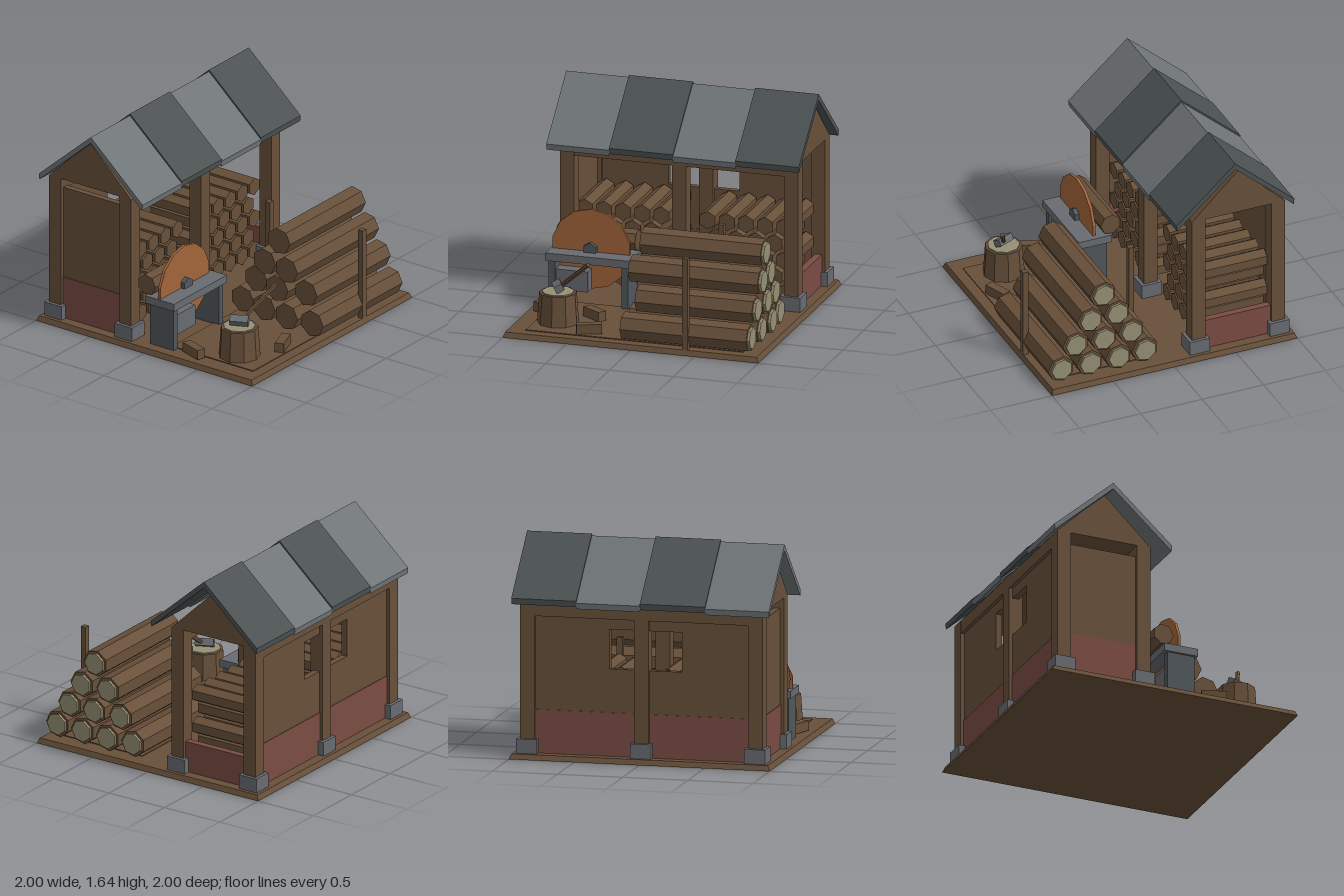
import * as THREE from 'three';

export function createModel() {
  const root = new THREE.Group();
  const mat = (name, color) => {
    const m = new THREE.MeshStandardMaterial({ color, flatShading: true });
    m.name = name;
    return m;
  };
  const wood = mat('brown wood', 0x68503a);
  const cutWood = mat('pale cut wood', 0x958f73);
  const brick = mat('red base wall', 0x7a4c43);
  const slateLight = mat('light slate', 0x707578);
  const slateDark = mat('dark slate', 0x4c5252);
  const stone = mat('grey stone', 0x686b70);
  const steel = mat('dark steel', 0x50575c);
  const rust = mat('rusty blade', 0xa2653b);

  const add = (name, geo, m, x = 0, y = 0, z = 0, parent = root) => {
    const mesh = new THREE.Mesh(geo, m);
    mesh.name = name;
    mesh.position.set(x, y, z);
    parent.add(mesh);
    return mesh;
  };
  // Box given by its extents
  const box = (name, m, x0, x1, y0, y1, z0, z1) =>
    add(name, new THREE.BoxGeometry(x1 - x0, y1 - y0, z1 - z0), m,
      (x0 + x1) / 2, (y0 + y1) / 2, (z0 + z1) / 2);
  // Profile drawn as [z, y] points and extruded along x
  const alongX = (name, m, pts, x0, x1) => {
    const shape = new THREE.Shape(pts.map(([z, y]) => new THREE.Vector2(-z, y)));
    const geo = new THREE.ExtrudeGeometry(shape, { depth: x1 - x0, bevelEnabled: false });
    geo.rotateY(Math.PI / 2);
    return add(name, geo, m, x0, 0, 0);
  };

  // Ground slab with a sloped rim
  const slab = new THREE.BoxGeometry(2, 0.04, 2);
  const p = slab.attributes.position;
  for (let i = 0; i < p.count; i++) {
    if (p.getY(i) > 0) p.setXYZ(i, p.getX(i) * 0.983, 0.02, p.getZ(i) * 0.983);
  }
  slab.computeVertexNormals();
  add('groundSlab', slab, wood, 0, 0.02, 0);
  box('yardBoards', wood, -0.85, 0.85, 0.04, 0.047, 0.15, 0.9);

  // Posts with stone feet, at the front and back
  for (const x of [-0.875, 0, 0.875]) {
    for (const z of [-0.225, -0.875]) {
      box('post', wood, x - 0.055, x + 0.055, 0.04, 1.18, z - 0.055, z + 0.055);
      box('postFoot', stone, x - 0.08, x + 0.08, 0.04, 0.15, z - 0.08, z + 0.08);
    }
  }
  for (const z of [-0.225, -0.875]) {
    box('topBeam', wood, -0.82, 0.82, 1.08, 1.18, z - 0.053, z + 0.053);
  }

  // Back wall with a window on either side of the middle post
  const wall = new THREE.Shape([[-0.85, 0.37], [0.85, 0.37], [0.85, 1.09], [-0.85, 1.09]]
    .map(a => new THREE.Vector2(...a)));
  wall.holes.push(new THREE.Path([[-0.305, 0.7], [-0.305, 1], [0.25, 1], [0.25, 0.7]]
    .map(a => new THREE.Vector2(...a))));
  add('backWall', new THREE.ExtrudeGeometry(wall, { depth: 0.05, bevelEnabled: false }),
    wood, 0, 0, -0.9);
  box('backBaseWall', brick, -0.85, 0.85, 0.04, 0.37, -0.905, -0.845);
  box('leftoverSideWall', wood, -0.9, -0.85, 0.37, 1.1, -0.85, -0.25).name = 'closedSideWall';
  box('closedSideBaseWall', brick, -0.905, -0.845, 0.04, 0.37, -0.85, -0.25);
  box('openSideBaseWall', brick, 0.85, 0.905, 0.04, 0.28, -0.85, -0.25);

  // Loft prism under the roof
  alongX('gable', wood, [[-0.17, 1.18], [-0.55, 1.545], [-0.93, 1.18]], -0.93, 0.93);

  // Roof of four alternating slate sections
  const edges = [-0.99, -0.5, 0, 0.488, 0.985];
  for (let i = 0; i < 4; i++) {
    const d = i % 2 ? 0.015 : 0;
    for (const s of [1, -1]) {
      alongX('roofSection', i % 2 ? slateDark : slateLight, [
        [-0.5, 1.625 + d], [-0.5 + s * 0.48, 1.2 + d],
        [-0.5 + s * 0.475, 1.155 + d], [-0.5, 1.577 + d],
      ], edges[i], edges[i + 1]);
    }
  }

  // Firewood stacks in both bays, rows nested
  const billet = new THREE.CylinderGeometry(0.07, 0.07, 0.53, 6);
  billet.rotateX(Math.PI / 2);
  for (const side of [-1, 1]) {
    for (let row = 0; row < 5; row++) {
      const odd = row % 2;
      for (let k = 0; k < 5 - odd; k++) {
        add('firewood', billet, wood,
          side * (0.18 + 0.075 * odd + 0.15 * k), 0.12 + 0.129 * row, -0.56);
      }
    }
  }

  // Round timber lying along x
  const timber = (name, x0, x1, y, z, r) => {
    const geo = new THREE.CylinderGeometry(r, r, x1 - x0, 7);
    geo.rotateZ(-Math.PI / 2);
    return add(name, geo, wood, (x0 + x1) / 2, y, z);
  };
  // Big log pile: [z, start x] for each log, row by row
  const rows = [
    [[0.88, -0.09], [0.65, -0.1], [0.42, -0.07], [0.2, -0.04]],
    [[0.765, -0.01], [0.54, -0.07], [0.31, -0.02]],
    [[0.65, -0.1], [0.425, -0.07]],
    [[0.54, -0.045]],
  ];
  const capGeo = new THREE.CylinderGeometry(0.085, 0.085, 0.03, 7);
  capGeo.rotateZ(-Math.PI / 2);
  rows.forEach((row, r) => row.forEach(([z, x0], k) => {
    const y = 0.15 + r * 0.188, x1 = 0.9 + 0.007 * ((k + r) % 3);
    timber('log', x0, x1, y, z, 0.105);
    add('logEnd', capGeo, cutWood, x1 + 0.005, y, z);
  }));
  for (const z of [0.965, 0.105]) {
    box('pileStake', wood, 0.4, 0.445, 0.04, 0.755, z - 0.022, z + 0.022);
  }

  // Saw bench with blade, hub and a log waiting to be cut
  box('sawTable', stone, -0.92, -0.26, 0.37, 0.43, -0.05, 0.22);
  box('sawLeg', steel, -0.9, -0.85, 0.04, 0.37, -0.02, 0.2);
  box('sawLeg', steel, -0.33, -0.28, 0.04, 0.37, -0.02, 0.2);
  box('sawMotor', stone, -0.87, -0.6, 0.14, 0.3, 0.02, 0.18);
  const disc = (name, r, t, n, m, z) => {
    const geo = new THREE.CylinderGeometry(r, r, t, n);
    geo.rotateX(Math.PI / 2);
    add(name, geo, m, -0.605, 0.45, z);
  };
  disc('sawBlade', 0.31, 0.022, 14, rust, 0.074);
  disc('sawHub', 0.056, 0.09, 6, steel, 0.075);
  timber('benchLog', -0.9, -0.28, 0.51, -0.05, 0.082);

  // Chopping block
  const cx = -0.68, cz = 0.645;
  add('choppingBlock', new THREE.CylinderGeometry(0.142, 0.158, 0.24, 9), wood, cx, 0.16, cz);
  add('choppingBlockTop', new THREE.CylinderGeometry(0.122, 0.122, 0.009, 9), cutWood, cx, 0.2845, cz);

  // Axe resting on the block
  const from = new THREE.Vector3(-0.68, 0.31, 0.645), to = new THREE.Vector3(-0.4, 0.56, 0.78);
  const dir = to.clone().sub(from);
  const mid = from.clone().add(to).multiplyScalar(0.5);
  const handle = add('axeHandle', new THREE.CylinderGeometry(0.017, 0.017, dir.length(), 6),
    wood, mid.x, mid.y, mid.z);
  handle.quaternion.setFromUnitVectors(new THREE.Vector3(0, 1, 0), dir.normalize());
  const head = add('axeHead', new THREE.BoxGeometry(0.065, 0.055, 0.14), stone, cx, 0.325, cz);
  head.rotation.set(0, 0.43, 0.5);

  // Split pieces scattered on the ground
  for (const [x, z, a] of [[-0.875, 0.37, 1.25], [-0.45, 0.475, -0.6], [-0.38, 0.825, 0.36]]) {
    add('splitWood', new THREE.BoxGeometry(0.19, 0.075, 0.07), wood, x, 0.083, z).rotation.y = a;
  }
  return root;
}
